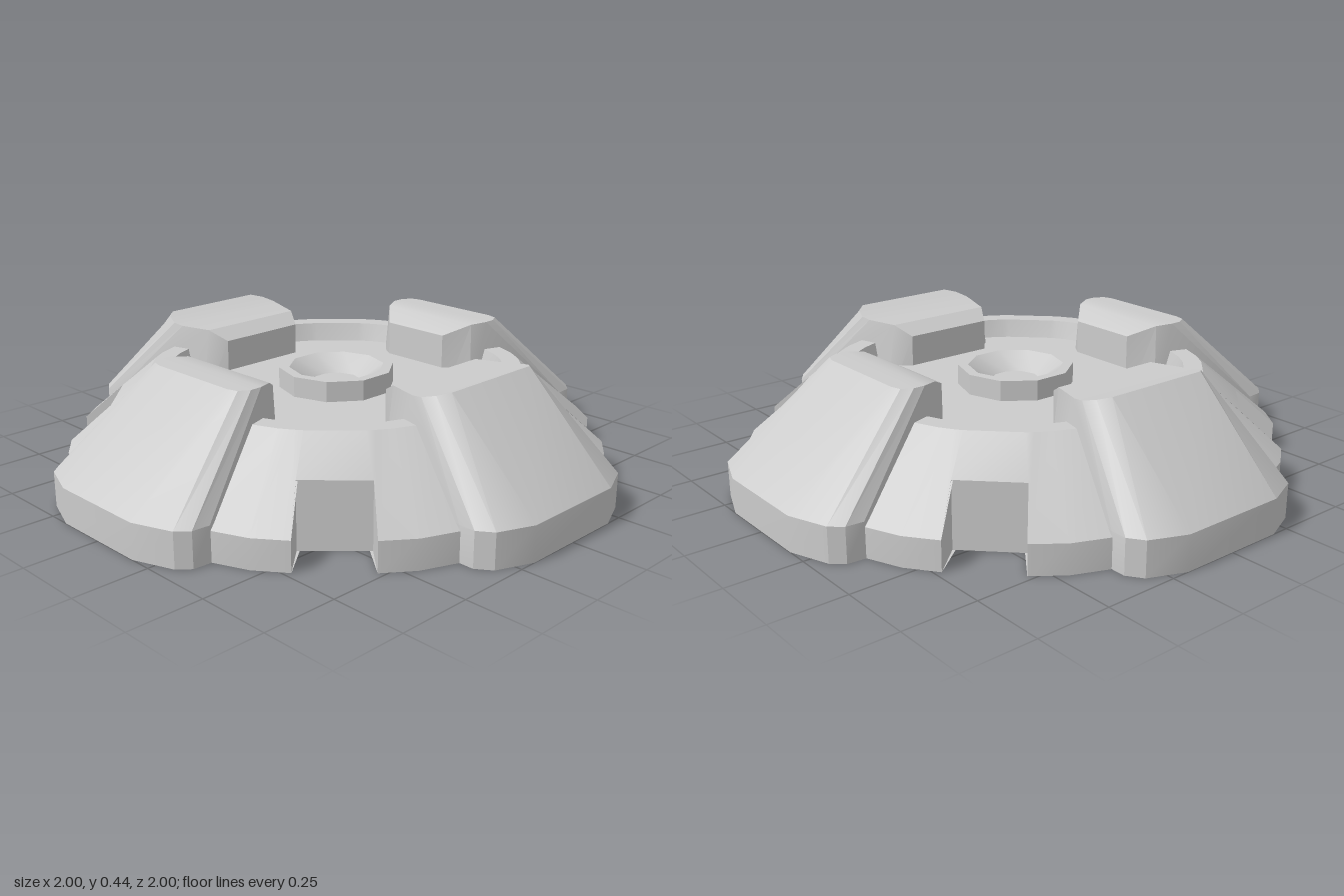
import * as THREE from 'three';
import { toCreasedNormals } from 'three/addons/utils/BufferGeometryUtils.js';

const material = new THREE.MeshStandardMaterial({ color: 0xcccccc });
const rad = THREE.MathUtils.degToRad;
const polar = (deg, r, y) => new THREE.Vector3(r * Math.sin(rad(deg)), y, r * Math.cos(rad(deg)));

// Adds a quad as two triangles, dropping any that collapse to a line
function quad(out, a, b, c, d) {
  for (const t of [[a, b, c], [a, c, d]]) {
    if (new THREE.Triangle(...t).getArea() > 1e-8) for (const p of t) out.push(p);
  }
}

// Joins closed cross-sections, listed from the bottom up
function loft(rings) {
  const out = [];
  for (let j = 0; j < rings.length - 1; j++) {
    const lo = rings[j], hi = rings[j + 1], n = lo.length;
    for (let i = 0; i < n; i++) {
      const k = (i + 1) % n;
      quad(out, lo[i], lo[k], hi[k], hi[i]);
    }
  }
  return out;
}

function makeMesh(name, geometry, crease = 0.42) {
  const mesh = new THREE.Mesh(toCreasedNormals(geometry, crease), material);
  mesh.name = name;
  return mesh;
}
const fromPoints = (points) => new THREE.BufferGeometry().setFromPoints(points);

// Sloped round base with a recessed floor and four notches in its edge
function createBase() {
  const R = 0.925, RIM = 0.65, TOP = 0.33, WALL = 0.1, FLOOR = 0.265;
  // Columns of one quadrant: [angle, radius at the foot, angle at the rim]
  const quadrant = [
    [0, R, 0], [15, R, 15], [30, R, 30],
    [37.4, 0.918, 34.5], [36.7, 0.777, 36.7], [53.3, 0.777, 53.3], [52.6, 0.918, 55.5],
    [60, R, 60], [75, R, 75],
  ];
  const columns = [];
  for (let q = 0; q < 4; q++) {
    for (const [a, r, b] of quadrant) columns.push([a + q * 90, r, b + q * 90]);
  }
  const slopeY = (r) => (r < 0.9 ? WALL + (TOP - WALL) * (R - r) / (R - RIM) : WALL);
  return makeMesh('base', fromPoints(loft([
    columns.map(() => new THREE.Vector3(0, 0, 0)),
    columns.map(([a, r]) => polar(a, r, 0)),
    columns.map(([a, r]) => polar(a, r, slopeY(r))),
    columns.map(([, , b]) => polar(b, RIM, TOP)),
    columns.map(([, , b]) => polar(b, 0.585, TOP)),
    columns.map(([, , b]) => polar(b, 0.565, FLOOR)),
    columns.map(() => new THREE.Vector3(0, FLOOR, 0)),
  ])));
}

// Buttress pointing to +z: a vertical foot lofted up to a smaller cap
function createButtress(name, foot, cap, turn) {
  const ring = (half, y) => {
    const right = half.map((p) => new THREE.Vector3(p[0], y ?? p[2], p[1]));
    const left = right.map((p) => new THREE.Vector3(-p.x, p.y, p.z)).reverse();
    return [...right, ...left];
  };
  const bottom = ring(foot, 0), top = ring(cap);
  const points = loft([bottom, ring(foot, 0.118), top]);
  const last = top.length - 1;
  for (let i = 0; i < foot.length - 1; i++) {
    quad(points, top[i], top[i + 1], top[last - i - 1], top[last - i]);
    quad(points, bottom[last - i], bottom[last - i - 1], bottom[i + 1], bottom[i]);
  }
  const mesh = makeMesh(name, fromPoints(points));
  mesh.rotation.y = rad(turn);
  return mesh;
}

// Raised ring with a bowl-shaped socket in the middle of the floor
function createSocket() {
  const profile = [[0.2, 0.26], [0.2, 0.335], [0.165, 0.335], [0.085, 0.28], [0, 0.28]];
  const lathe = new THREE.LatheGeometry(profile.map((p) => new THREE.Vector2(...p)), 10, rad(18));
  return makeMesh('centreSocket', lathe);
}

export function createModel() {
  const model = new THREE.Group();
  model.name = 'baseStation';
  model.add(createBase(), createSocket());

  // Half outlines from the outer end inwards: [half width, distance, height]
  const foot = [[0.19, 1], [0.31, 0.95], [0.345, 0.9], [0.345, 0.845], [0.24, 0.45], [0.165, 0.39]];
  const longCap = [
    [0.19, 0.675, 0.437], [0.225, 0.645, 0.428], [0.24, 0.6, 0.417],
    [0.235, 0.56, 0.412], [0.2, 0.45, 0.41], [0.165, 0.387, 0.375],
  ];
  const sideFoot = [[0.175, 1], [0.31, 0.95], [0.345, 0.91], [0.35, 0.85], [0.22, 0.47], [0.13, 0.41]];
  const sideCap = [
    [0.17, 0.625, 0.43], [0.205, 0.615, 0.43], [0.225, 0.58, 0.43],
    [0.225, 0.54, 0.43], [0.2, 0.485, 0.425], [0.13, 0.41, 0.385],
  ];
  model.add(
    createButtress('frontButtress', foot, longCap, 0),
    createButtress('leftButtress', sideFoot, sideCap, 90),
    createButtress('backButtress', foot, longCap, 180),
    createButtress('rightButtress', sideFoot, sideCap, 270),
  );
  return model;
}
